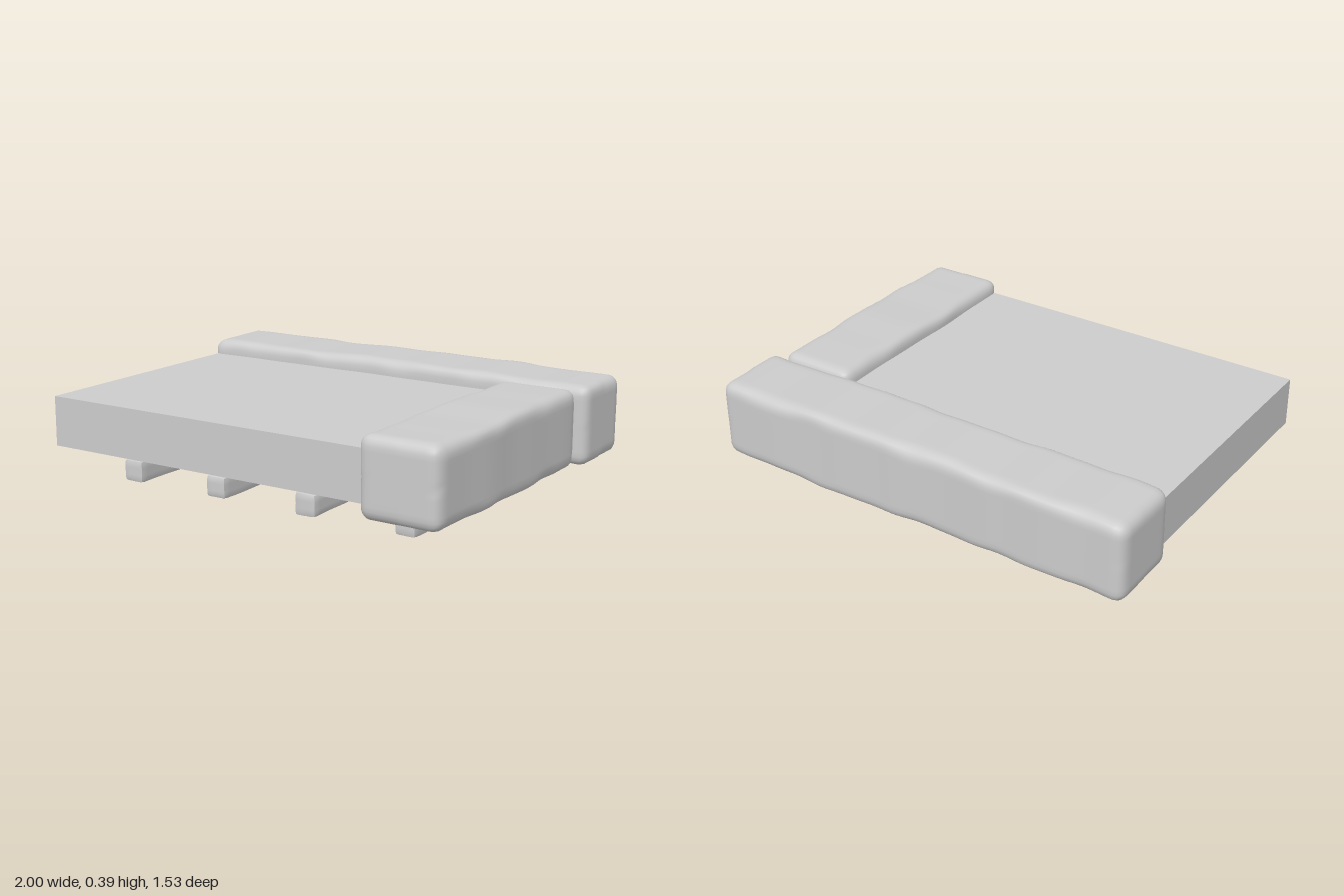
import * as THREE from 'three';
import { mergeVertices, toCreasedNormals } from 'three/addons/utils/BufferGeometryUtils.js';

const material = new THREE.MeshStandardMaterial({ color: 0xcccccc });

// Smooth repeatable wobble in about -1..1
const wobble = (a, b, seed) =>
  (Math.sin(a * 7 + seed * 2.1) + Math.sin(a * 17 + b * 9 + seed * 4.7) * 0.6
    + Math.sin(a * 31 - b * 13 + seed) * 0.4) / 2;

// Rough-hewn block between two corners: rounded edges of varying radius,
// with a gentle wave along the length
function hewnBlock(name, min, max, { radius, chip, wave, step, seed, crease = 0.6 }) {
  const lo = new THREE.Vector3(...min), hi = new THREE.Vector3(...max);
  const size = hi.clone().sub(lo), center = lo.clone().add(hi).multiplyScalar(0.5);
  const half = size.clone().multiplyScalar(0.5);
  const seg = (s) => Math.max(6, Math.round(s / step));
  let geo = new THREE.BoxGeometry(size.x, size.y, size.z, seg(size.x), seg(size.y), seg(size.z));
  geo.deleteAttribute('uv');
  geo.deleteAttribute('normal');
  geo = mergeVertices(geo, 1e-4);
  const alongX = size.x > size.z;
  const pos = geo.attributes.position, p = new THREE.Vector3(), c = new THREE.Vector3();
  for (let i = 0; i < pos.count; i++) {
    p.fromBufferAttribute(pos, i);
    const t = alongX ? p.x : p.z;
    const side = alongX ? p.z : p.x;
    const r = radius + chip * wobble(t, Math.sign(p.y) + 2 * Math.sign(side), seed);
    // Round the edges and corners
    const inner = half.clone().subScalar(r);
    c.copy(p).clamp(inner.clone().negate(), inner);
    const d = p.clone().sub(c);
    if (d.length() > 1e-6) p.copy(c).add(d.setLength(r));
    // Pull the faces in unevenly along the length
    p.y *= 1 - wave * (0.5 + 0.5 * wobble(t * 0.6, Math.sign(p.y), seed + 1));
    const squeeze = 1 - wave * (0.5 + 0.5 * wobble(t * 0.6, Math.sign(side), seed + 3));
    if (alongX) p.z *= squeeze; else p.x *= squeeze;
    pos.setXYZ(i, p.x, p.y, p.z);
  }
  geo = toCreasedNormals(geo, crease);
  const mesh = new THREE.Mesh(geo, material);
  mesh.name = name;
  mesh.position.copy(center);
  return mesh;
}

export function createModel() {
  const model = new THREE.Group();
  model.name = 'cornerPlatform';

  // Flat slab
  const slab = new THREE.Mesh(new THREE.BoxGeometry(1.91, 0.22, 1.16), material);
  slab.name = 'slab';
  slab.position.set(-0.015, 0.207, 0.155);
  model.add(slab);

  // Large beams along the back and the left side
  const beam = { radius: 0.045, chip: 0.013, wave: 0.07, step: 0.022 };
  model.add(hewnBlock('backBeam', [-1, 0.025, -0.765], [1, 0.393, -0.403], { ...beam, seed: 1 }));
  model.add(hewnBlock('sideBeam', [0.592, 0.03, -0.398], [0.968, 0.383, 0.765], { ...beam, seed: 5 }));

  // Joists under the slab
  [-0.53, -0.095, 0.345, 0.8].forEach((x, i) => {
    model.add(hewnBlock(`joist${i + 1}`, [x - 0.053, 0, -0.57], [x + 0.053, 0.1, 0.742],
      { radius: 0.016, chip: 0.005, wave: 0.2, step: 0.02, seed: 9 + i * 3 }));
  });
  return model;
}
